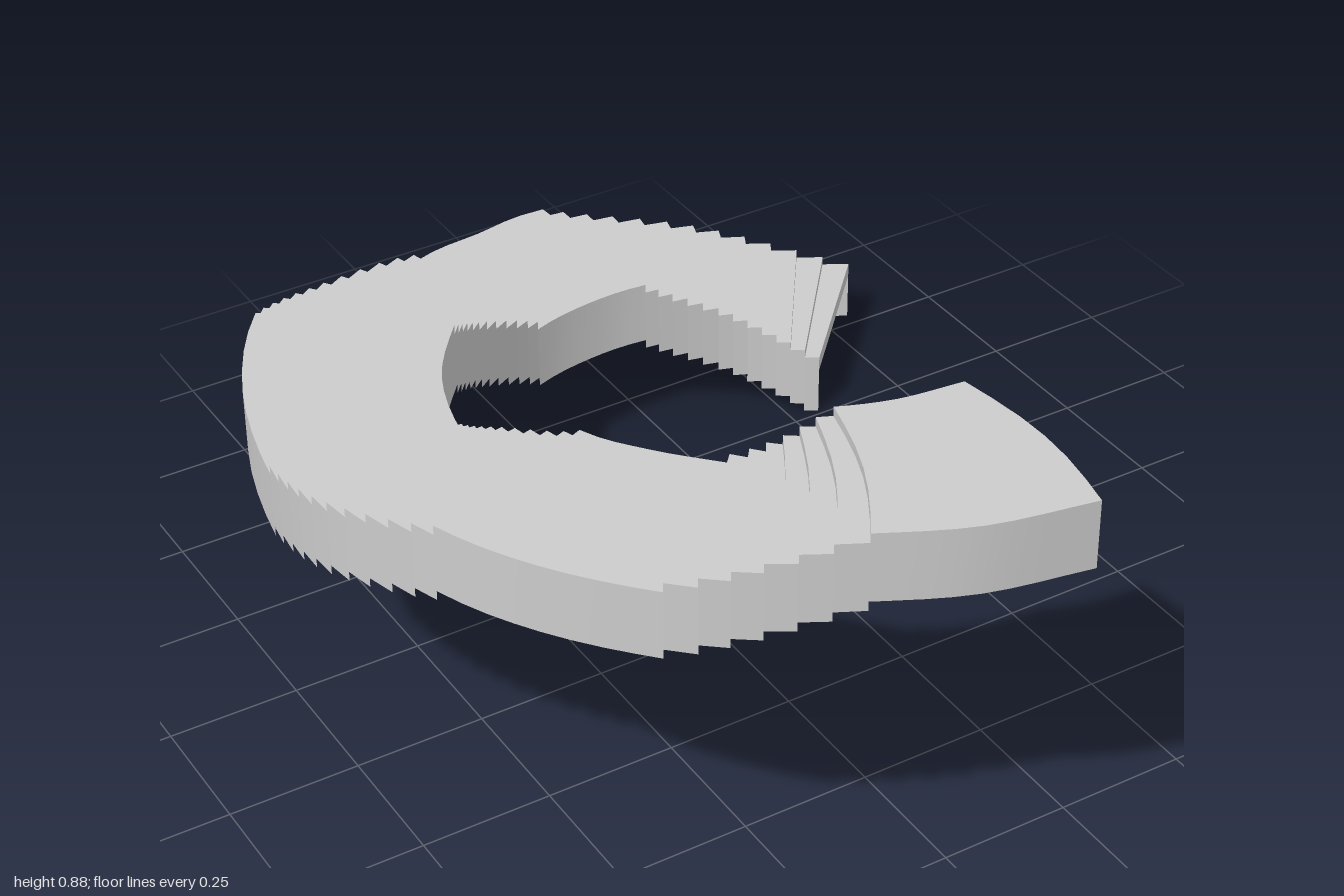
import * as THREE from 'three';
import { mergeGeometries } from 'three/addons/utils/BufferGeometryUtils.js';

const RISE = 0.0178, SLAB = 0.03, SKIRT = 0.13, FIRST = 0.13;
const ACROSS = 6;

// Plan curves (x, z): three points per section, shared between neighbours
const plan = (pts) => new THREE.CatmullRomCurve3(
  pts.map(([x, z]) => new THREE.Vector3(x, 0, z)), false, 'catmullrom', 0.5);
const outer = plan([
  [0.81, -0.78], [0.52, -0.935], [0.20, -1.0], [0.04, -0.985], [-0.12, -0.955],
  [-0.40, -0.81], [-0.60, -0.64], [-0.73, -0.42], [-0.80, -0.16],
  [-0.815, 0.10], [-0.75, 0.36], [-0.66, 0.54], [-0.53, 0.70],
  [-0.41, 0.80], [-0.27, 0.88], [-0.11, 0.955], [0.08, 0.995]]);
const inner = plan([
  [0.56, -0.51], [0.41, -0.60], [0.23, -0.64], [0.10, -0.64], [-0.03, -0.61],
  [-0.19, -0.53], [-0.31, -0.41], [-0.41, -0.27], [-0.46, -0.10],
  [-0.465, 0.06], [-0.42, 0.25], [-0.35, 0.36], [-0.26, 0.46],
  [-0.20, 0.525], [-0.13, 0.565], [-0.03, 0.60], [0.09, 0.615]]);

// Treads per section; 1 is a landing
const SECTIONS = [12, 1, 11, 1, 10, 1, 6, 1];

// Line of points across the stair at t (0..1), bowed slightly uphill
function crossLine(t, y) {
  const a = outer.getPoint(t), b = inner.getPoint(t);
  const uphill = outer.getTangent(t).add(inner.getTangent(t)).normalize();
  return Array.from({ length: ACROSS + 1 }, (_, i) => {
    const s = i / ACROSS;
    const p = a.clone().lerp(b, s);
    p.addScaledVector(uphill, 0.024 * t * t * Math.sin(Math.PI * s));
    p.y = y;
    return p;
  });
}

// Surface through rows of points
function sheet(rows) {
  const n = rows[0].length, index = [];
  for (let r = 0; r < rows.length - 1; r++) {
    for (let c = 0; c < n - 1; c++) {
      const a = r * n + c, b = a + n;
      index.push(a, a + 1, b, b, a + 1, b + 1);
    }
  }
  const g = new THREE.BufferGeometry().setFromPoints(rows.flat());
  g.setIndex(index);
  g.computeVertexNormals();
  return g;
}

const drop = (row, d) => row.map((p) => new THREE.Vector3(p.x, p.y - d, p.z));
const band = (row, height) => sheet([row, drop(row, height)]);

export function createModel() {
  const group = new THREE.Group();
  const material = new THREE.MeshStandardMaterial({ color: 0xcccccc, side: THREE.DoubleSide });
  const parts = { treads: [], soffits: [], risers: [], outerSkirt: [], innerSkirt: [] };

  let y = FIRST;
  SECTIONS.forEach((count, section) => {
    for (let k = 0; k < count; k++) {
      const t0 = (section + k / count) / SECTIONS.length;
      const t1 = (section + (k + 1) / count) / SECTIONS.length;
      const steps = count === 1 ? 8 : 1;
      const rows = Array.from({ length: steps + 1 }, (_, i) =>
        crossLine(t0 + (t1 - t0) * i / steps, y));
      const last = rows[steps];

      parts.treads.push(sheet(rows));
      parts.soffits.push(sheet(rows.map((r) => drop(r, SLAB)).reverse()));
      parts.outerSkirt.push(band(rows.map((r) => r[0]), SKIRT));
      parts.innerSkirt.push(band(rows.map((r) => r[ACROSS]).reverse(), SKIRT));

      // Open ends get a lip as deep as the slab
      const first = section === 0 && k === 0;
      parts.risers.push(band(rows[0].slice().reverse(), first ? SLAB : RISE));
      if (!first) parts.risers.push(band(drop(rows[0], SLAB).reverse(), RISE));
      if (section === SECTIONS.length - 1) parts.risers.push(band(last, SLAB));
      y += RISE;
    }
  });

  for (const [name, pieces] of Object.entries(parts)) {
    const mesh = new THREE.Mesh(mergeGeometries(pieces), material);
    mesh.name = name;
    group.add(mesh);
  }
  group.name = 'curvedStaircase';
  return group;
}
